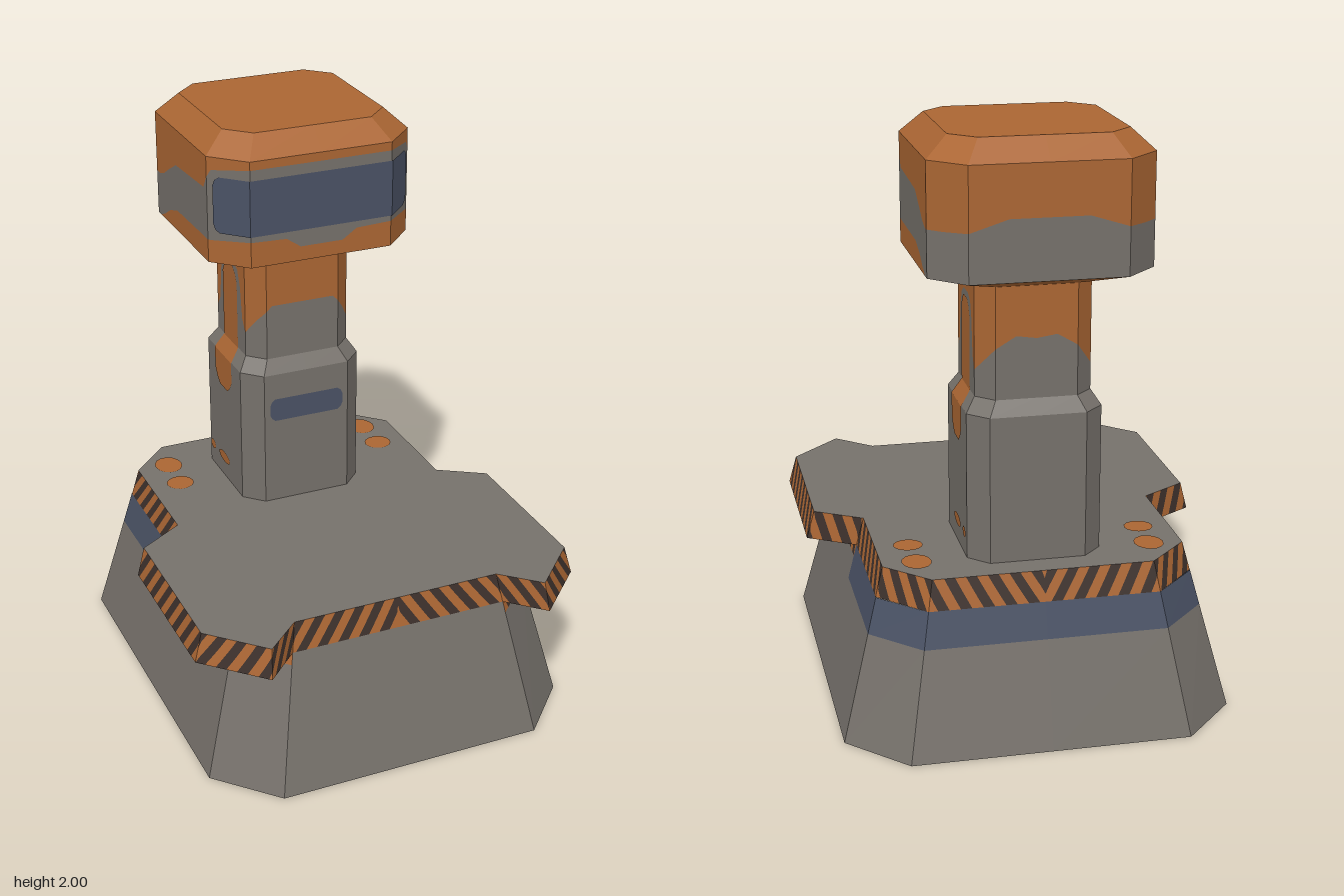
import * as THREE from 'three';

const mat = (name, color) => {
  const m = new THREE.MeshStandardMaterial({ color, side: THREE.DoubleSide });
  m.name = name;
  return m;
};
const lerp = THREE.MathUtils.lerp;

// Half outline of a chamfered rectangle, from front centre round +x to back centre.
const oct = (hx, hz, c, cz, d = c) => [
  [0, cz + hz], [hx - c, cz + hz], [hx, cz + hz - d],
  [hx, cz - hz + d], [hx - c, cz - hz], [0, cz - hz]];

// A wall rising from one half outline to another; both halves are mirrored in x.
const loft = (y0, y1, low, high, cz = 0) => ({ y0, y1, low, high, cz });

// Point on a wall; t counts outline edges, grow swells it for thin painted plates.
function at(w, t, y, grow = 1) {
  const i = Math.min(Math.floor(t), w.low.length - 2), u = t - i;
  const f = (y - w.y0) / (w.y1 - w.y0);
  const p = k => lerp(lerp(w.low[i][k], w.low[i + 1][k], u), lerp(w.high[i][k], w.high[i + 1][k], u), f);
  return [p(0) * grow, y, w.cz + (p(1) - w.cz) * grow];
}

function pushQuad(out, a, b, c, d) {
  const m = ([x, y, z]) => [-x, y, z];
  out.push(...a, ...b, ...c, ...a, ...c, ...d);
  out.push(...m(b), ...m(a), ...m(d), ...m(b), ...m(d), ...m(c));
}

function meshOf(name, material, positions) {
  const g = new THREE.BufferGeometry();
  g.setAttribute('position', new THREE.Float32BufferAttribute(positions, 3));
  g.computeVertexNormals();
  const mesh = new THREE.Mesh(g, material);
  mesh.name = name;
  return mesh;
}

// Strip of wall between a lower and an upper edge given as [t, low, high].
function band(name, material, w, samples, grow = 1) {
  const pts = [];
  samples.forEach((s, i) => {
    pts.push(s);
    const n = samples[i + 1];
    if (!n) return;
    for (let k = Math.floor(s[0]) + 1; k < n[0]; k++) {
      const u = (k - s[0]) / (n[0] - s[0]);
      pts.push([k, lerp(s[1], n[1], u), lerp(s[2], n[2], u)]);
    }
  });
  const out = [];
  for (let i = 0; i + 1 < pts.length; i++) {
    const [a, al, ah] = pts[i], [b, bl, bh] = pts[i + 1];
    if (b - a < 1e-6) continue;
    pushQuad(out, at(w, a, al, grow), at(w, b, bl, grow), at(w, b, bh, grow), at(w, a, ah, grow));
  }
  return meshOf(name, material, out);
}

// Slanted warning stripes tiling a wall, alternating two colours.
function stripes(name, mats, w, t0, t1, y0, y1) {
  const out = [[], []], width = 0.0375, slant = 0.065, rows = 4;
  let start = 0;
  for (let e = Math.floor(t0); e < t1; e++) {
    const a = Math.max(e, t0), b = Math.min(e + 1, t1);
    const p = at(w, a, y0), q = at(w, b - 1e-9, y0);
    const len = Math.hypot(q[0] - p[0], q[2] - p[2]);
    const first = Math.floor(start / width), last = Math.ceil((start + len + slant) / width);
    for (let k = first; k < last; k++) for (let r = 0; r < rows; r++) {
      const pt = (edge, v) => {
        const u = THREE.MathUtils.clamp((edge * width - slant * v - start) / len, 0, 1);
        // stay on this edge at its far corner
        return [u, at(w, Math.min(lerp(a, b, u), e + 1 - 1e-7), lerp(y0, y1, v))];
      };
      const A = pt(k, r / rows), B = pt(k + 1, r / rows);
      const C = pt(k + 1, (r + 1) / rows), D = pt(k, (r + 1) / rows);
      if (B[0] - A[0] < 1e-6 && C[0] - D[0] < 1e-6) continue;
      pushQuad(out[k % 2], A[1], B[1], C[1], D[1]);
    }
    start += len;
  }
  const g = new THREE.Group();
  g.name = name;
  out.forEach((o, i) => g.add(meshOf(name + (i ? 'Dark' : 'Orange'), mats[i], o)));
  return g;
}

// Flat cap from a half outline.
function cap(name, material, half, y) {
  const right = half.map(([x, z]) => new THREE.Vector2(x, -z));
  const left = half.slice(1, -1).reverse().map(([x, z]) => new THREE.Vector2(-x, -z));
  const g = new THREE.ShapeGeometry(new THREE.Shape([...right, ...left]));
  g.rotateX(-Math.PI / 2).translate(0, y, 0);
  const mesh = new THREE.Mesh(g, material);
  mesh.name = name;
  return mesh;
}

export function createModel() {
  const grey = mat('grey metal', 0x76716b), orange = mat('orange paint', 0xab6633);
  const dark = mat('dark stripe', 0x3c302b), blue = mat('slate blue', 0x4a5265);
  const model = new THREE.Group();
  model.name = 'bollardOnPlinth';
  const add = (...m) => model.add(...m);

  // Hollow flared plinth
  const plinth = loft(0, 0.58, oct(0.66, 0.8, 0.19, 0, 0.2), oct(0.51, 0.655, 0.14, 0));
  add(band('plinthWall', grey, plinth, [[0, 0, 0.48], [1, 0, 0.48], [1, 0, 0.44], [2.57, 0, 0.44],
    [2.57, 0, 0.36], [2.585, 0, 0.36], [5, 0, 0.36]]));
  add(band('plinthBlueBand', blue, plinth, [[2.57, 0.36, 0.48], [5, 0.36, 0.48]]));
  add(stripes('plinthStripes', [orange, dark], plinth, 1, 2.57, 0.44, 0.58));

  // Deck with overhanging wings and a striped skirt
  const deckTop = [[0, 0.655], [0.37, 0.655], [0.495, 0.77], [0.67, 0.595], [0.67, 0.02],
    [0.51, -0.08], [0.51, -0.515], [0.37, -0.655], [0, -0.655]];
  const deckLow = [[0, 0.68], [0.387, 0.68], [0.505, 0.795], [0.697, 0.605], [0.697, 0.025],
    [0.536, -0.075], [0.536, -0.526], [0.387, -0.68], [0, -0.68]];
  add(cap('deck', grey, deckTop, 0.58));
  add(stripes('deckSkirt', [orange, dark], loft(0.48, 0.58, deckLow, deckTop), 0, 8, 0.48, 0.58));

  // Post: wide lower part, sloped shoulder, narrow neck
  const cz = -0.338;
  const wide = oct(0.225, 0.225, 0.065, cz), thin = oct(0.193, 0.193, 0.058, cz);
  const lower = loft(0.58, 1.08, wide, wide, cz);
  const shoulder = loft(1.08, 1.13, wide, thin, cz);
  const neck = loft(1.13, 1.51, thin, thin, cz);
  add(band('postLower', grey, lower, [[0, 0.58, 1.08], [5, 0.58, 1.08]]));
  add(band('postShoulder', grey, shoulder, [[0, 1.08, 1.13], [5, 1.08, 1.13]]));
  const rustEdge = [[0, 1.33], [0.85, 1.33], [1, 1.31], [1.5, 1.27], [2, 1.22], [2.1, 1.26],
    [2.17, 1.38], [2.25, 1.43], [2.38, 1.45], [2.64, 1.45], [2.77, 1.43], [2.84, 1.38],
    [2.9, 1.26], [3, 1.22], [3.5, 1.26], [4, 1.3], [4.5, 1.34], [5, 1.33]];
  add(band('neckGrey', grey, neck, rustEdge.map(([t, y]) => [t, 1.13, y])));
  add(band('neckOrange', orange, neck, rustEdge.map(([t, y]) => [t, y, 1.51])));

  // Orange runs down both sides of the post
  const round = [[2.26, 0.05], [2.32, 0.02], [2.4, 0], [2.62, 0], [2.7, 0.02], [2.76, 0.05]];
  add(band('sideRunLower', orange, lower, round.map(([t, d]) => [t, 0.95 + d, 1.08]), 1.012));
  add(band('sideRunShoulder', orange, shoulder, round.map(([t]) => [t, 1.08, 1.13]), 1.012));
  add(band('sideRunUpper', orange, neck, round.map(([t, d]) => [t, 1.13, 1.43 - d]), 1.012));

  // Blue plate on the post front
  add(band('postPlate', blue, lower, [[0, 0.9, 0.985], [0.74, 0.9, 0.985], [0.82, 0.91, 0.975],
    [0.86, 0.925, 0.96]], 1.012));

  // Head: under-slope, painted wall, bevel and top
  const headOut = oct(0.364, 0.363, 0.11, cz), headTop = oct(0.29, 0.29, 0.08, cz);
  const head = loft(1.56, 1.93, headOut, headOut, cz);
  add(band('headUnderside', orange, loft(1.505, 1.56, thin, headOut, cz), [[0, 1.505, 1.56], [5, 1.505, 1.56]]));
  const paint = [[0, 1.61, 1.9], [0.3, 1.61, 1.9], [0.5, 1.645, 1.9], [1, 1.65, 1.9],
    [1.9, 1.64, 1.885], [2, 1.64, 1.86], [2.06, 1.64, 1.815], [2.6, 1.635, 1.8], [2.75, 1.61, 1.76],
    [2.85, 1.58, 1.73], [2.94, 1.56, 1.715], [3.4, 1.56, 1.715], [4, 1.56, 1.72], [4.5, 1.56, 1.76],
    [5, 1.56, 1.76]];
  add(band('headGreyBand', grey, head, paint));
  add(band('headLowerPaint', orange, head, paint.map(([t, l]) => [t, 1.56, l])));
  add(band('headUpperPaint', orange, head, paint.map(([t, , h]) => [t, h, 1.93])));
  add(band('headWindow', blue, head, [[0, 1.67, 1.865], [1.7, 1.67, 1.865], [1.8, 1.68, 1.855],
    [1.85, 1.7, 1.835]], 1.01));
  add(band('headBevel', orange, loft(1.93, 2, headOut, headTop, cz), [[0, 1.93, 2], [5, 1.93, 2]]));
  add(cap('headTop', orange, headTop, 2));

  // Rust spots on the deck and low on the post sides
  const spot = (name, sx, sy, x, y, z, flat) => {
    const g = new THREE.CircleGeometry(1, 14).scale(sx, sy, 1);
    for (const side of [1, -1]) {
      const m = new THREE.Mesh(g, orange);
      m.name = name;
      if (flat) m.rotation.x = -Math.PI / 2;
      else m.rotation.y = side * Math.PI / 2;
      m.position.set(side * x, y, z);
      add(m);
    }
  };
  spot('deckSpot', 0.05, 0.06, 0.395, 0.584, -0.505, true);
  spot('deckSpot', 0.05, 0.048, 0.4, 0.584, -0.36, true);
  spot('postSpot', 0.055, 0.02, 0.228, 0.66, -0.35, false);
  spot('postSpot', 0.025, 0.018, 0.228, 0.66, -0.465, false);
  return model;
}
